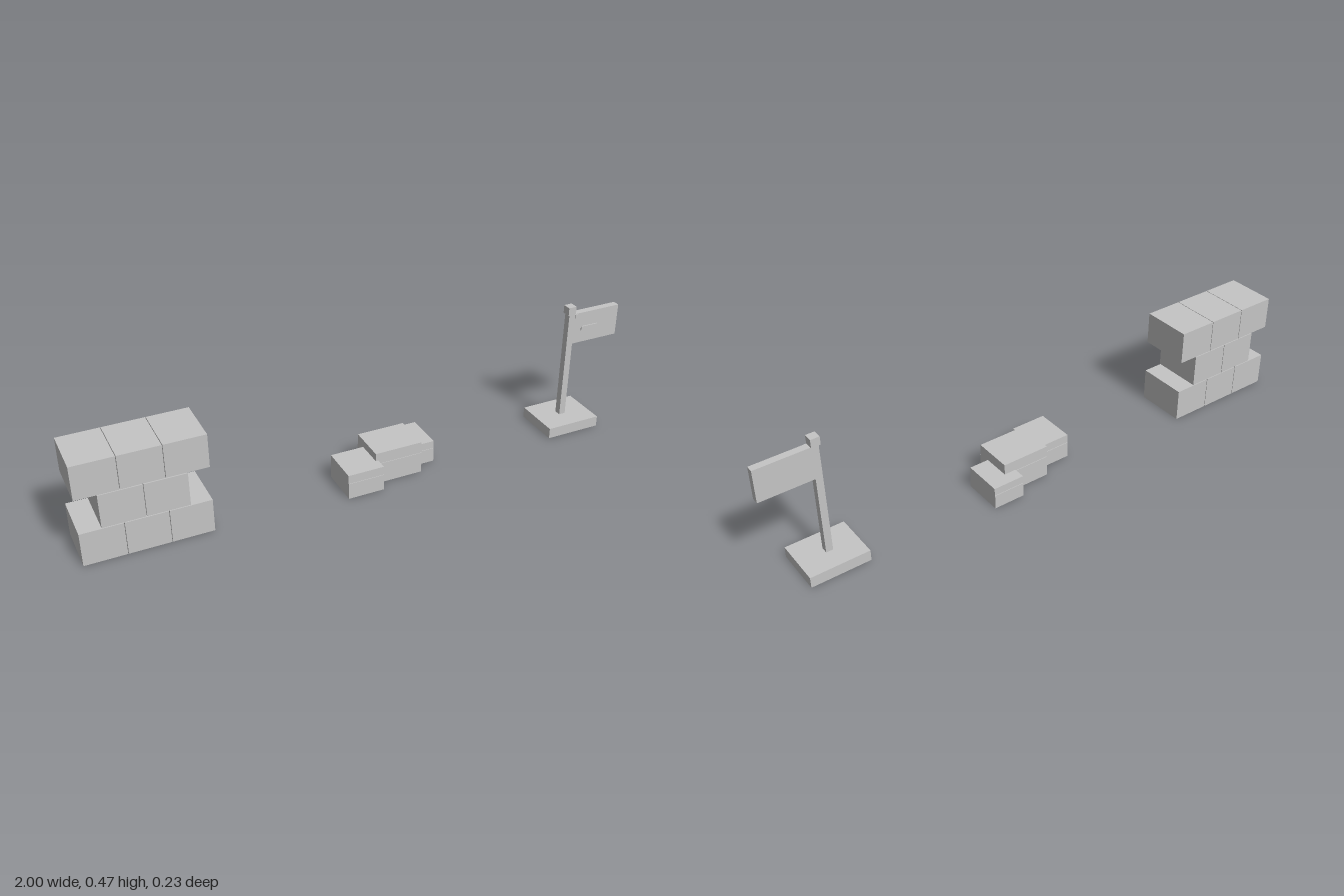
import * as THREE from 'three';

export function createModel() {
  const model = new THREE.Group();
  const stone = new THREE.MeshStandardMaterial({ color: 0xc5c5c5 });
  stone.name = 'lightGrey';

  // Box given by its limits on each axis
  function box(parent, name, [x0, x1], [y0, y1], [z0, z1]) {
    const mesh = new THREE.Mesh(new THREE.BoxGeometry(x1 - x0, y1 - y0, z1 - z0), stone);
    mesh.position.set((x0 + x1) / 2, (y0 + y1) / 2, (z0 + z1) / 2);
    mesh.name = name;
    parent.add(mesh);
  }
  function group(name) {
    const g = new THREE.Group();
    g.name = name;
    model.add(g);
    return g;
  }

  // Wall: staggered rows of 3, 2 and 3 bricks with thin gaps
  const wall = group('brickWall');
  const pitch = 0.142, brick = 0.14, rise = 0.1212, height = 0.1187;
  [3, 2, 3].forEach((count, row) => {
    for (let i = 0; i < count; i++) {
      const x = -0.788 + (i - (count - 1) / 2) * pitch;
      box(wall, 'brick', [x - brick / 2, x + brick / 2],
        [row * rise, row * rise + height], [-0.094, 0.087]);
    }
  });

  // Rubble: three blocks, each with a slightly narrower upper part
  const rubble = group('rubble');
  const blocks = [
    { x: [-0.117, 0.013], h: 0.09, z: [-0.031, 0.115] },
    { x: [0.004, 0.178], h: 0.118, z: [-0.072, 0.073] },
    { x: [0.135, 0.249], h: 0.08, z: [-0.115, 0.031] },
  ];
  const inset = 0.002;
  for (const { x, h, z } of blocks) {
    box(rubble, 'blockLower', x, [0, h * 0.65], z);
    box(rubble, 'blockUpper', x, [h * 0.65, h], [z[0] + inset, z[1] - inset]);
  }

  // Flag on a post with a square foot
  const flag = group('flagPost');
  box(flag, 'foot', [0.7, 0.907], [0, 0.039], [-0.088, 0.083]);
  box(flag, 'post', [0.79, 0.814], [0.039, 0.444], [-0.015, 0.01]);
  box(flag, 'finial', [0.785, 0.816], [0.443, 0.472], [-0.019, 0.012]);
  box(flag, 'banner', [0.814, 1.0], [0.327, 0.443], [-0.015, 0.01]);
  box(flag, 'bannerTie', [0.814, 0.825], [0.428, 0.441], [0.01, 0.013]);
  box(flag, 'bannerPlate', [0.845, 0.912], [0.373, 0.389], [0.01, 0.014]);

  return model;
}
